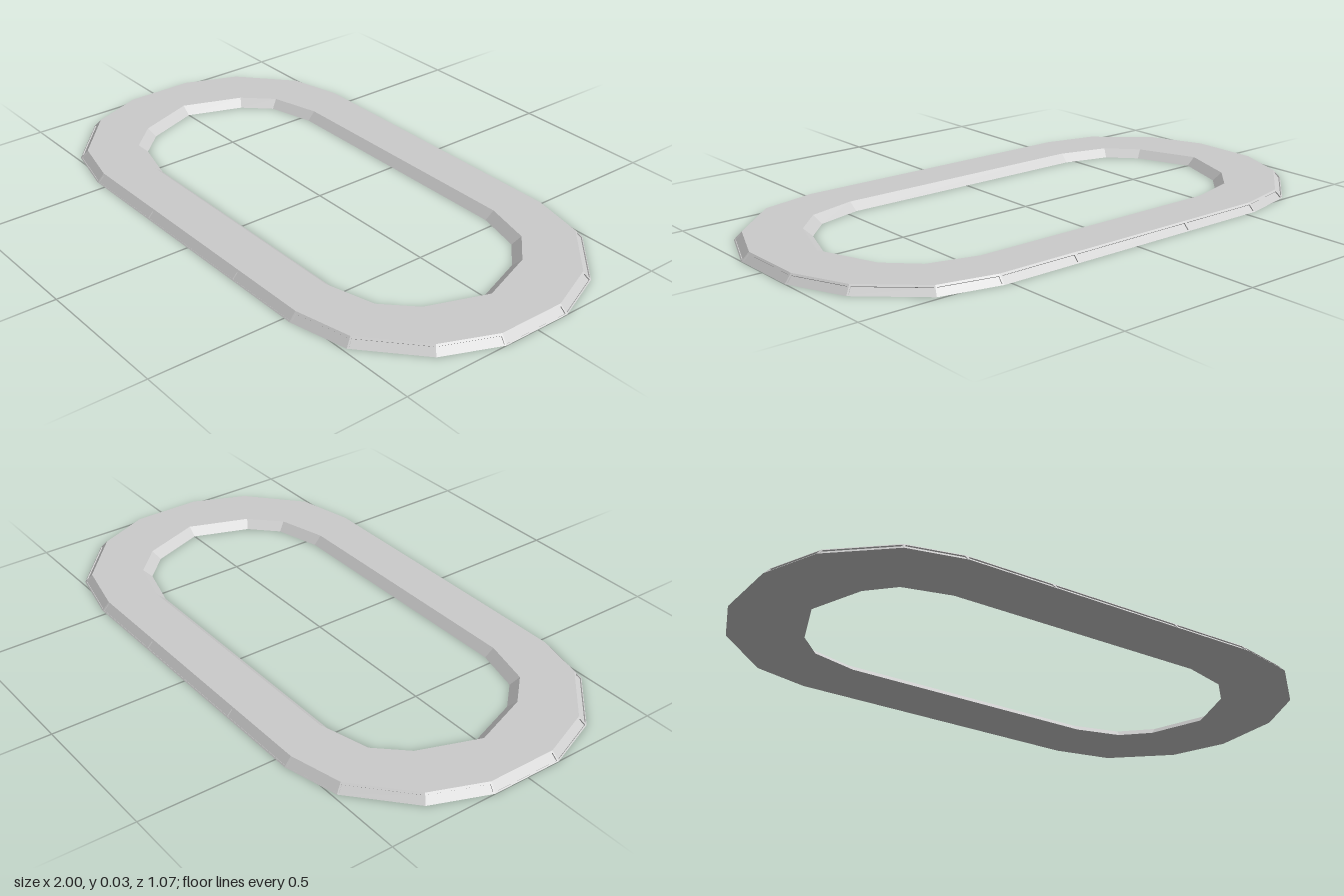
import * as THREE from 'three';

const HEIGHT = 0.027;
const material = new THREE.MeshStandardMaterial({ color: 0xcccccc, flatShading: true });

// Plan outlines, counter-clockwise from above, with plan y = -z
const mirrorOutline = (half) => {
  const back = half.map(([x, y]) => new THREE.Vector2(x, y));
  const front = half.filter(([, y]) => y > 0).reverse().map(([x, y]) => new THREE.Vector2(x, -y));
  return [...back, ...front];
};
const outerBase = mirrorOutline([
  [1, 0.125], [0.918, 0.318], [0.73, 0.487], [0.525, 0.533], [0.235, 0.533],
  [-0.235, 0.533], [-0.545, 0.533], [-0.735, 0.487], [-0.923, 0.318], [-1, 0.125],
]);
const innerBase = mirrorOutline([
  [0.78, 0], [0.71, 0.19], [0.622, 0.277], [0.462, 0.32],
  [-0.467, 0.32], [-0.628, 0.277], [-0.71, 0.19], [-0.78, 0],
]);

// Mitred offset of an outline, positive outward
function offset(points, distance) {
  const n = points.length;
  const normal = (a, b) => new THREE.Vector2(b.y - a.y, a.x - b.x).normalize();
  return points.map((p, i) => {
    const n1 = normal(points[(i + n - 1) % n], p);
    const n2 = normal(p, points[(i + 1) % n]);
    const k = distance / (1 + n1.dot(n2));
    return n1.add(n2).multiplyScalar(k).add(p);
  });
}

const at = (p, y) => new THREE.Vector3(p.x, y, -p.y);

function quadMesh(name, quads) {
  const points = quads.flatMap(([a, b, c, d]) => [a, b, c, a, c, d]);
  const geometry = new THREE.BufferGeometry().setFromPoints(points);
  geometry.computeVertexNormals();
  const mesh = new THREE.Mesh(geometry, material);
  mesh.name = name;
  return mesh;
}

// Flat ring facing up or down
function flatRing(name, outer, inner, y, up) {
  const side = up ? 1 : -1;
  const flip = (pts) => pts.map((p) => new THREE.Vector2(p.x, p.y * side));
  const shape = new THREE.Shape(flip(outer));
  shape.holes.push(new THREE.Path(flip(inner)));
  const geometry = new THREE.ShapeGeometry(shape).rotateX(-side * Math.PI / 2).translate(0, y, 0);
  const mesh = new THREE.Mesh(geometry, material);
  mesh.name = name;
  return mesh;
}

export function createModel() {
  const model = new THREE.Group();
  model.name = 'ovalRing';
  const outerTop = offset(outerBase, -0.025);
  const innerTop = offset(innerBase, 0.03);

  model.add(flatRing('topFace', outerTop, innerTop, HEIGHT, true));
  model.add(flatRing('bottomFace', outerBase, innerBase, 0, false));

  // Sloping wall of the opening
  model.add(quadMesh('innerBevel', innerBase.map((a, i) => {
    const j = (i + 1) % innerBase.length;
    return [at(innerBase[j], 0), at(a, 0), at(innerTop[i], HEIGHT), at(innerTop[j], HEIGHT)];
  })));

  // Sloping outer wall: a frame around one recessed panel per segment
  const frame = [], panels = [];
  outerBase.forEach((p, i) => {
    const j = (i + 1) % outerBase.length;
    const corners = [at(p, 0), at(outerBase[j], 0), at(outerTop[j], HEIGHT), at(outerTop[i], HEIGHT)];
    const [a, b, c, d] = corners;
    const margin = 0.005 / a.distanceTo(b);
    const point = (u, v) => a.clone().lerp(b, u).lerp(d.clone().lerp(c, u), v);
    const rim = [point(margin, 0.12), point(1 - margin, 0.12), point(1 - margin, 0.8), point(margin, 0.8)];
    const inward = b.clone().sub(a).cross(d.clone().sub(a)).setLength(-0.004);
    const sunk = rim.map((v) => v.clone().add(inward));
    for (let k = 0; k < 4; k++) {
      const m = (k + 1) % 4;
      frame.push([corners[k], corners[m], rim[m], rim[k]], [rim[k], rim[m], sunk[m], sunk[k]]);
    }
    panels.push(sunk);
  });
  model.add(quadMesh('outerFrame', frame), quadMesh('outerPanels', panels));
  return model;
}
